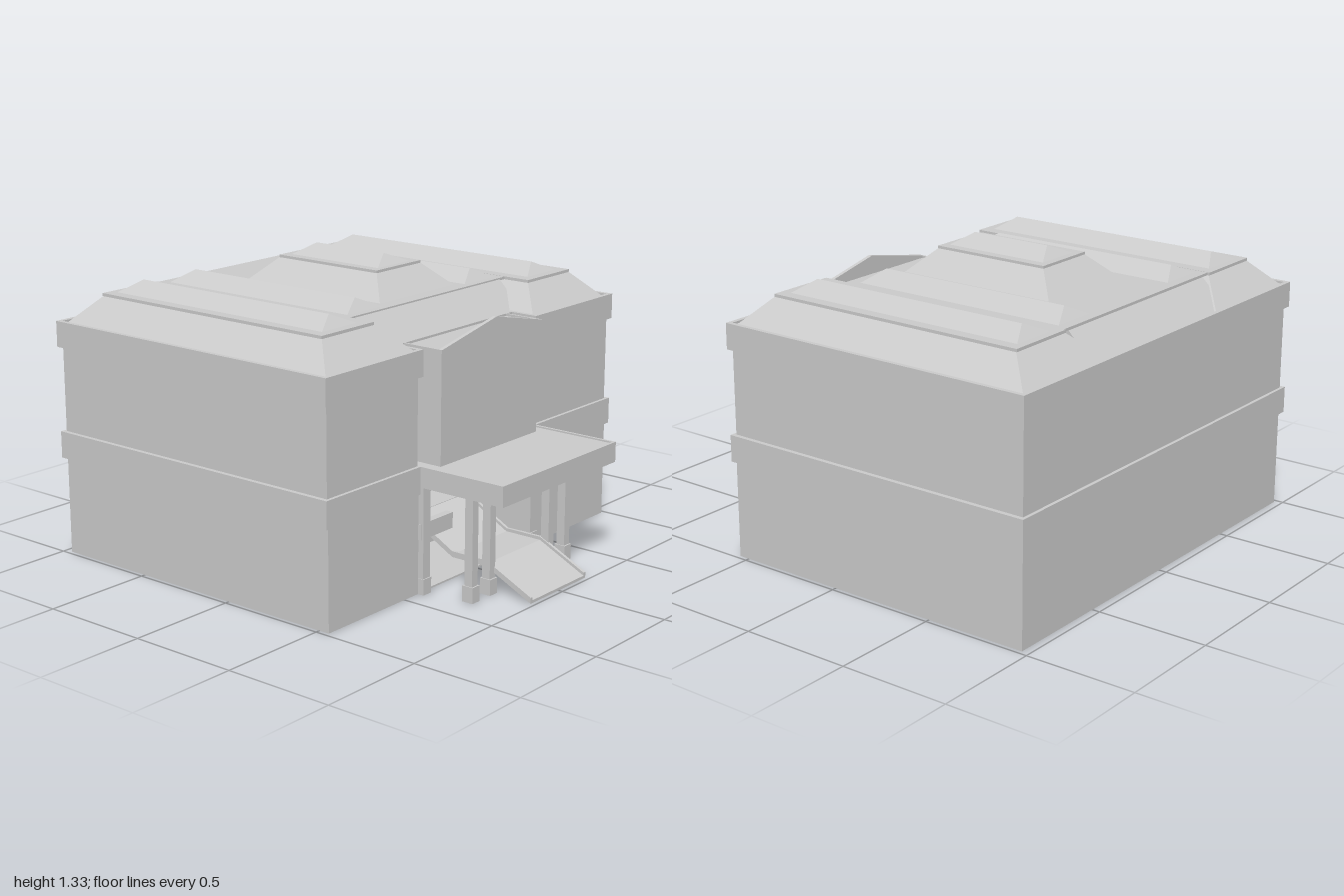
import * as THREE from 'three';

const material = new THREE.MeshStandardMaterial({ color: 0xcccccc, flatShading: true, side: THREE.DoubleSide });

export function createModel() {
  const model = new THREE.Group();
  model.name = 'building';

  function add(name, geometry, parent = model) {
    const mesh = new THREE.Mesh(geometry, material);
    mesh.name = name;
    parent.add(mesh);
    return mesh;
  }

  // Box given by its limits on each axis
  function block(name, x0, x1, y0, y1, z0, z1) {
    const g = new THREE.BoxGeometry(x1 - x0, y1 - y0, z1 - z0);
    g.translate((x0 + x1) / 2, (y0 + y1) / 2, (z0 + z1) / 2);
    return add(name, g);
  }

  // Box whose top rectangle differs from its base; rectangles are [x0, x1, z0, z1]
  function hip(name, base, y0, top, y1) {
    const g = new THREE.BoxGeometry(1, 1, 1);
    const p = g.attributes.position;
    for (let i = 0; i < p.count; i++) {
      const up = p.getY(i) > 0;
      const r = up ? top : base;
      p.setXYZ(i, p.getX(i) < 0 ? r[0] : r[1], up ? y1 : y0, p.getZ(i) < 0 ? r[2] : r[3]);
    }
    g.computeVertexNormals();
    return add(name, g);
  }

  // Plan outline with a notch in the middle of the front, as [x, z] points
  function plan(w, back, front, notchW, notchZ) {
    return [[-w, front], [-notchW, front], [-notchW, notchZ], [notchW, notchZ],
      [notchW, front], [w, front], [w, back], [-w, back]];
  }
  const toPath = (pts, Type) => new Type(pts.map(([x, z]) => new THREE.Vector2(x, -z)));

  // Plan outline (with optional hole) raised between two heights
  function slab(name, pts, y0, y1, hole) {
    const shape = toPath(pts, THREE.Shape);
    if (hole) shape.holes.push(toPath(hole, THREE.Path));
    const g = new THREE.ExtrudeGeometry(shape, { depth: y1 - y0, bevelEnabled: false });
    g.rotateX(-Math.PI / 2);
    g.translate(0, y0, 0);
    return add(name, g);
  }

  // Open vertical wall following a closed outline
  function walls(name, pts, y0, y1) {
    const pos = [];
    pts.forEach(([x0, z0], i) => {
      const [x1, z1] = pts[(i + 1) % pts.length];
      pos.push(x0, y0, z0, x1, y0, z1, x1, y1, z1, x0, y0, z0, x1, y1, z1, x0, y1, z0);
    });
    const g = new THREE.BufferGeometry();
    g.setAttribute('position', new THREE.Float32BufferAttribute(pos, 3));
    g.computeVertexNormals();
    return add(name, g);
  }

  // Main walls, bands and eaves
  walls('lowerWalls', plan(0.98, -0.965, 0.55, 0.41, 0.2), 0, 0.55);
  walls('upperWalls', plan(0.98, -0.965, 0.545, 0.412, 0.43), 0.55, 1.04);
  slab('middleBand', plan(1, -0.98, 0.56, 0.41, 0.42), 0.44, 0.56, plan(0.97, -0.95, 0.53, 0.44, 0.39));
  slab('eaveBand', plan(1, -0.98, 0.56, 0.395, 0.43), 0.94, 1.055, plan(0.98, -0.96, 0.54, 0.415, 0.41));
  slab('eaveDeck', plan(0.985, -0.965, 0.545, 0.41, 0.415), 1.035, 1.045);

  // Central bay above the entrance
  block('bay', -0.34, 0.34, 0.55, 0.97, 0.4, 0.61);
  block('bayCornice', -0.36, 0.36, 0.97, 1.045, 0.4, 0.625);
  for (const s of [-1, 1]) block('bayCorniceRim', s * 0.355 - 0.005, s * 0.355 + 0.005, 1.045, 1.055, 0.43, 0.625);
  const gable = new THREE.ExtrudeGeometry(new THREE.Shape([
    new THREE.Vector2(-0.36, 1.04), new THREE.Vector2(0.36, 1.04), new THREE.Vector2(0.36, 1.055),
    new THREE.Vector2(0.01, 1.13), new THREE.Vector2(-0.36, 1.055)]), { depth: 0.018, bevelEnabled: false });
  add('pediment', gable.translate(0, 0, 0.61));

  // Lower roof: centre slope and two hipped wings
  hip('centreRoof', [-0.5, 0.5, -0.945, 0.41], 1.04, [-0.5, 0.5, -0.82, 0.285], 1.165);
  block('centreRoofLip', -0.545, 0.545, 1.16, 1.172, -0.828, 0.285);
  for (const s of [-1, 1]) {
    const rect = (a, b, z0, z1) => (s > 0 ? [a, b, z0, z1] : [-b, -a, z0, z1]);
    hip('wingRoof', rect(0.415, 0.965, -0.95, 0.53), 1.045, rect(0.54, 0.85, -0.83, 0.41), 1.165);
    const [x0, x1] = rect(0.535, 0.855);
    block('wingRoofLip', x0, x1, 1.16, 1.173, -0.838, 0.415);
    hip('wingRidge', rect(0.575, 0.82, -0.81, 0.38), 1.165, rect(0.698, 0.698, -0.745, 0.315), 1.22);
    hip('innerRidge', rect(0.275, 0.52, -0.79, 0.255), 1.165, rect(0.395, 0.395, -0.73, 0.195), 1.22);
  }

  // Raised central roof
  hip('upperRoof', [-0.26, 0.26, -0.56, 0.22], 1.165, [-0.145, 0.145, -0.445, 0.105], 1.277);
  block('upperRoofLip', -0.15, 0.15, 1.272, 1.284, -0.45, 0.11);
  hip('upperRidge', [-0.115, 0.115, -0.42, 0.085], 1.28, [0, 0, -0.36, 0.025], 1.328);

  // Entrance canopy with a shallow rim
  block('canopy', -0.41, 0.41, 0.47, 0.553, 0.2, 0.97);
  slab('canopyRim', [[-0.41, 0.43], [-0.41, 0.98], [0.41, 0.98], [0.41, 0.43]], 0.47, 0.56,
    [[-0.398, 0.44], [-0.398, 0.968], [0.398, 0.968], [0.398, 0.44]]);

  // Columns with square bases, pilasters and side beams
  for (const s of [-1, 1]) {
    for (const c of [0.213, 0.335]) {
      const x = s * c;
      block('column', x - 0.019, x + 0.019, 0.06, 0.47, 0.75, 0.79);
      block('columnBase', x - 0.024, x + 0.024, 0, 0.07, 0.743, 0.797);
    }
    const x = s * 0.385;
    block('pilaster', x - 0.023, x + 0.023, 0.06, 0.47, 0.53, 0.575);
    block('pilasterBase', x - 0.026, x + 0.026, 0, 0.07, 0.525, 0.58);
    block('sideBeam', s * 0.303 - 0.108, s * 0.303 + 0.108, 0.24, 0.31, 0.53, 0.565);
  }

  // Porch floor, landing and walkway in a folded strip
  block('porchFloor', -0.41, 0.41, 0, 0.008, 0.2, 0.55);
  block('porchLanding', -0.41, 0.41, 0.235, 0.25, 0.2, 0.34);
  function walkway(name, x0, x1, top, thickness) {
    const line = [[0.98, 0.004], [0.75, 0.115], [0.57, 0.115], [0.34, 0.24]];
    const upper = line.map(([z, y]) => new THREE.Vector2(-z, y + top));
    const lower = line.map(([z, y]) => new THREE.Vector2(-z, Math.max(0, y + top - thickness))).reverse();
    const g = new THREE.ExtrudeGeometry(new THREE.Shape([...upper, ...lower]), { depth: x1 - x0, bevelEnabled: false });
    g.rotateY(Math.PI / 2);
    add(name, g.translate(x0, 0, 0));
  }
  walkway('ramp', -0.19, 0.19, 0.008, 0.012);
  for (const s of [-1, 1]) walkway('rampCurb', s * 0.195 - 0.007, s * 0.195 + 0.007, 0.022, 0.026);

  return model;
}
